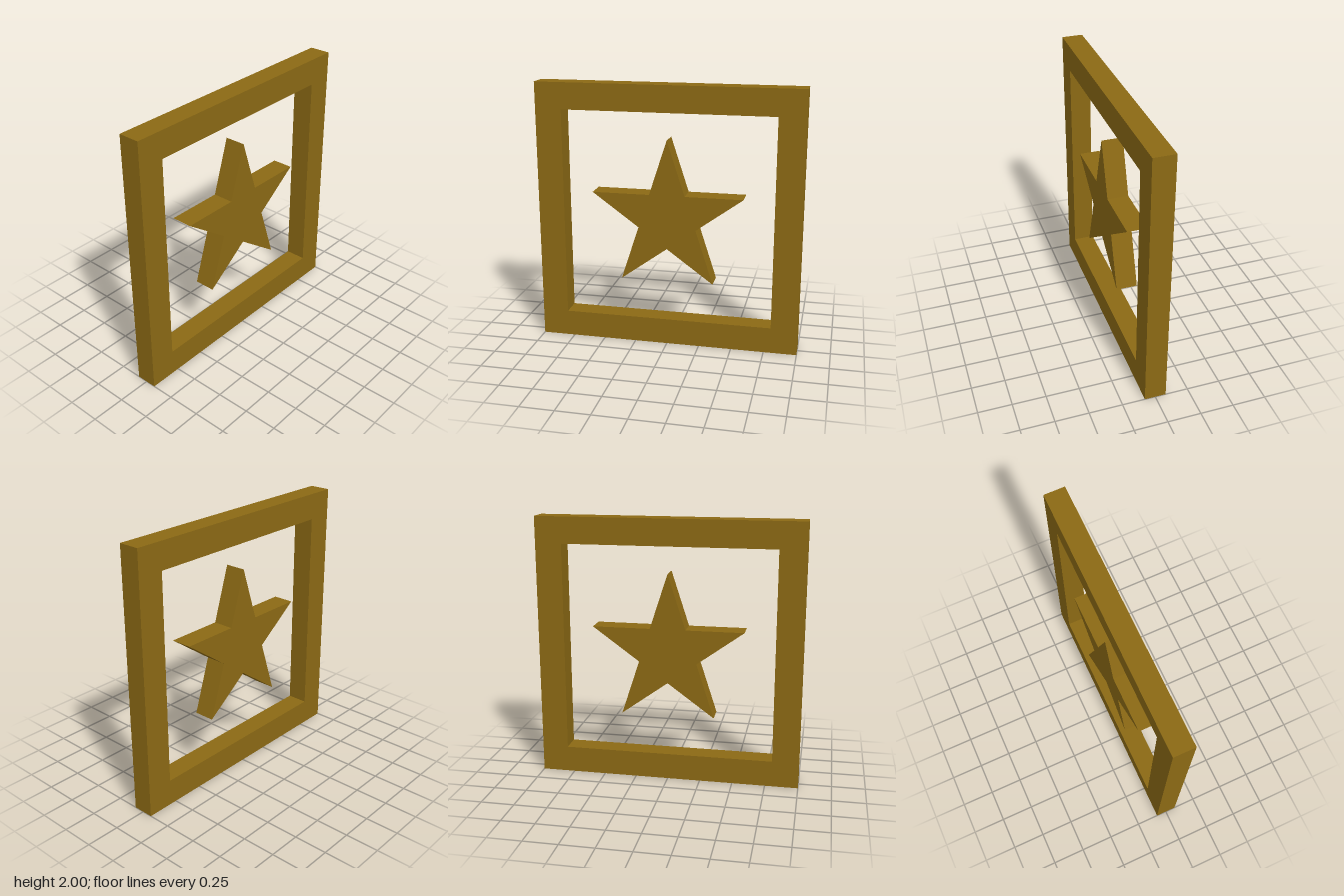
import * as THREE from 'three';

const DEPTH = 0.16;

// Extrude a flat outline so it is centred on z = 0
function slab(name, shape, material) {
  const geometry = new THREE.ExtrudeGeometry(shape, { depth: DEPTH, bevelEnabled: false });
  geometry.translate(0, 0, -DEPTH / 2);
  const mesh = new THREE.Mesh(geometry, material);
  mesh.name = name;
  return mesh;
}

// Corners of a square centred on the origin
function square(half) {
  return [[-1, -1], [1, -1], [1, 1], [-1, 1]].map(([x, y]) => new THREE.Vector2(x * half, y * half));
}

// Corners of a five-pointed star, first point up
function starPoints(outer, inner) {
  const points = [];
  for (let i = 0; i < 10; i++) {
    const angle = Math.PI / 2 + (i * Math.PI) / 5;
    const r = i % 2 ? inner : outer;
    points.push(new THREE.Vector2(r * Math.cos(angle), r * Math.sin(angle)));
  }
  return points;
}

export function createModel() {
  const group = new THREE.Group();
  group.name = 'framedStar';
  const material = new THREE.MeshStandardMaterial({ color: 0x8b6914 });

  // Square frame with a square opening
  const frameShape = new THREE.Shape(square(1));
  frameShape.holes.push(new THREE.Path(square(0.8)));
  const frame = slab('frame', frameShape, material);

  // Star floating in the middle of the opening
  const star = slab('star', new THREE.Shape(starPoints(0.6, 0.229)), material);

  for (const part of [frame, star]) {
    part.position.y = 1;
    group.add(part);
  }
  return group;
}
